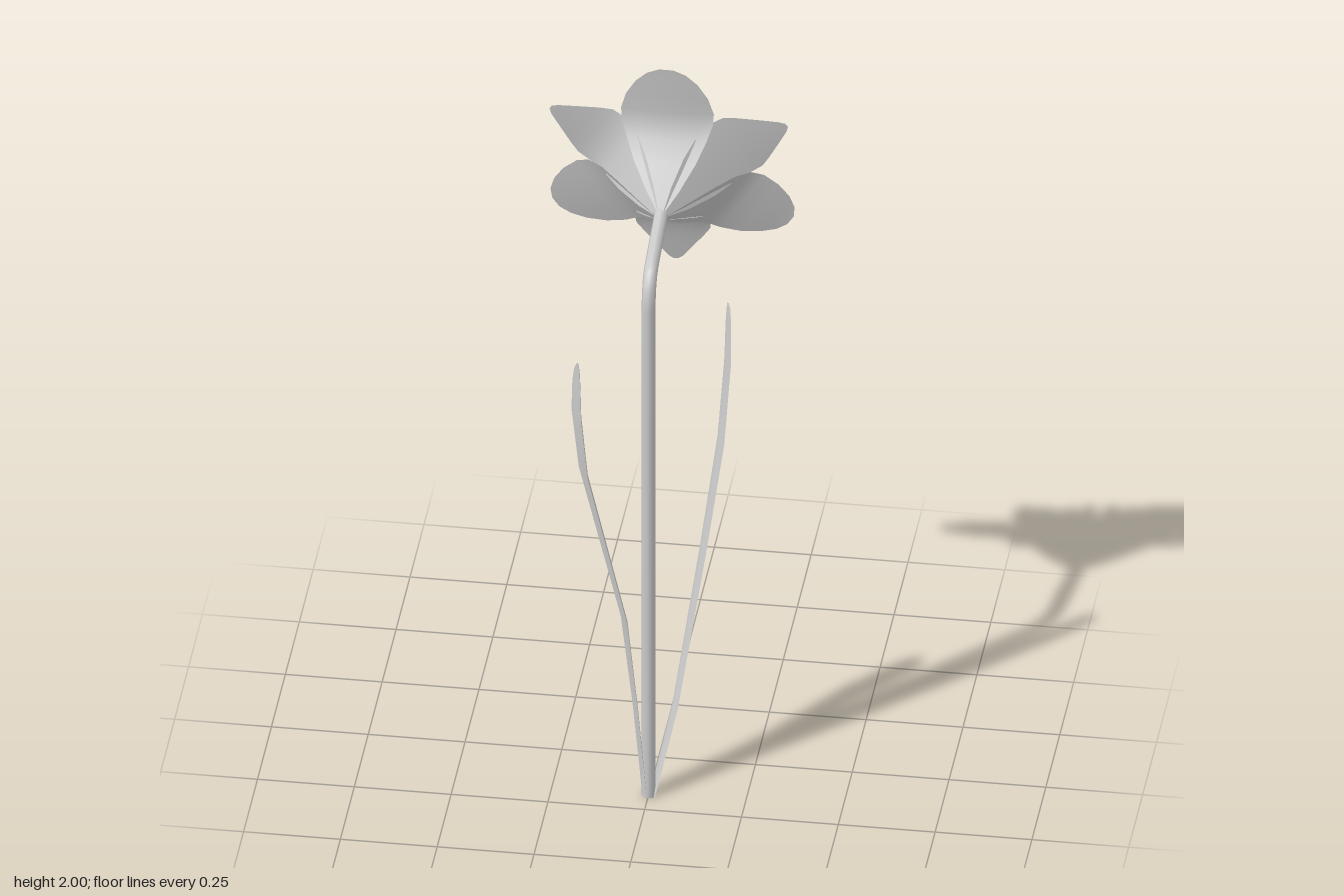
import * as THREE from 'three';
import { toCreasedNormals } from 'three/addons/utils/BufferGeometryUtils.js';

const material = new THREE.MeshStandardMaterial({ color: 0xcccccc, side: THREE.DoubleSide });

// Grid surface: point(i, j) returns [x, y, z] for row i and column j
function sheet(name, rows, cols, point, crease = 0.7) {
  const pos = [], index = [];
  for (let i = 0; i <= rows; i++) for (let j = 0; j <= cols; j++) pos.push(...point(i, j));
  for (let i = 0; i < rows; i++) {
    for (let j = 0; j < cols; j++) {
      const a = i * (cols + 1) + j, b = a + cols + 1;
      index.push(a, a + 1, b, a + 1, b + 1, b);
    }
  }
  const geo = new THREE.BufferGeometry();
  geo.setAttribute('position', new THREE.Float32BufferAttribute(pos, 3));
  geo.setIndex(index);
  const mesh = new THREE.Mesh(toCreasedNormals(geo, crease), material);
  mesh.name = name;
  return mesh;
}

// Petal pointing along +y; each row is [distance from axis, height along axis, half width]
function petal(name, rows) {
  const cols = 6;
  return sheet(name, rows.length - 1, cols, (i, j) => {
    const [r, a, w] = rows[i], x = w * (2 * j / cols - 1);
    return [x, r, a + 0.4 * (x * x - w * w / 2)];
  });
}

// Strap leaf; each row is [x, y, z, half width], slightly cupped toward the stem
function leaf(name, rows, side) {
  const cols = 4;
  return sheet(name, rows.length - 1, cols, (i, j) => {
    const [x, y, z, w] = rows[i], t = 2 * j / cols - 1;
    const cup = side * w * 0.3 * (0.5 - t * t);
    return [x + 0.5 * w * t + 0.86 * cup, y, z + 0.86 * w * t - 0.5 * cup];
  });
}

// Trumpet: a thick-walled cup whose rim is cut into teeth
function trumpet() {
  const teeth = 12;
  const steps = [[0, 1], [0.3, 1], [0.6, 1], [0.62, 0], [0.8, 0], [0.98, 0]];
  // [radius, height, radius in a notch, height in a notch]
  const profile = [
    [0.03, 0.02], [0.068, 0.11], [0.088, 0.198], [0.102, 0.241, 0.089, 0.201],
    [0.092, 0.241, 0.081, 0.201], [0.08, 0.198], [0.06, 0.11], [0.03, 0.06], [0, 0.055],
  ];
  return sheet('trumpet', profile.length - 1, teeth * steps.length, (i, j) => {
    const [offset, high] = steps[j % steps.length];
    const angle = (Math.floor(j / steps.length) + offset) / teeth * Math.PI * 2;
    const [r, a, lowR = r, lowA = a] = profile[i];
    const radius = high ? r : lowR;
    return [radius * Math.cos(angle), radius * Math.sin(angle), high ? a : lowA];
  }, 0.6);
}

export function createModel() {
  const model = new THREE.Group();
  model.name = 'flowerOnStem';

  // Stem: straight, then bent over toward the bloom
  const v = (y, z) => new THREE.Vector3(0, y, z);
  const path = new THREE.CurvePath();
  path.add(new THREE.LineCurve3(v(0, 0.18), v(1.47, 0.18)));
  path.add(new THREE.QuadraticBezierCurve3(v(1.47, 0.18), v(1.565, 0.18), v(1.578, 0.115)));
  path.add(new THREE.LineCurve3(v(1.578, 0.115), v(1.625, -0.06)));
  const stem = new THREE.Mesh(new THREE.TubeGeometry(path, 90, 0.018, 8), material);
  stem.name = 'stem';
  const stemEnd = new THREE.Mesh(new THREE.CircleGeometry(0.018, 8), material);
  stemEnd.name = 'stemEnd';
  stemEnd.rotation.x = Math.PI / 2;
  stemEnd.position.z = 0.18;
  model.add(stem, stemEnd);

  // Leaves
  model.add(leaf('leftLeaf', [
    [0.008, 0, 0.177, 0.016], [0.06, 0.25, 0.133, 0.018], [0.125, 0.7, 0.095, 0.021],
    [0.167, 1.02, 0.065, 0.023], [0.183, 1.25, 0.056, 0.022], [0.186, 1.38, 0.055, 0.018],
    [0.187, 1.42, 0.055, 0.012], [0.187, 1.435, 0.055, 0.004],
  ], -1));
  model.add(leaf('rightLeaf', [
    [-0.008, 0, 0.183, 0.016], [-0.03, 0.28, 0.197, 0.018], [-0.055, 0.55, 0.216, 0.023],
    [-0.153, 1.02, 0.262, 0.03], [-0.169, 1.2, 0.272, 0.033], [-0.17, 1.29, 0.27, 0.027],
    [-0.17, 1.33, 0.267, 0.018], [-0.17, 1.35, 0.265, 0.005],
  ], 1));

  // Bloom: built along +z, then tilted to look up and backward
  const bloom = new THREE.Group();
  bloom.name = 'bloom';
  bloom.position.set(0, 1.62, -0.045);
  bloom.lookAt(0, 1.62 + 0.24, -0.045 - 0.97);
  const round = [
    [0.016, 0, 0.012], [0.05, 0.035, 0.042], [0.1, 0.09, 0.08], [0.14, 0.133, 0.103],
    [0.175, 0.158, 0.117], [0.21, 0.166, 0.12], [0.26, 0.171, 0.106], [0.305, 0.176, 0.08],
    [0.335, 0.179, 0.05], [0.35, 0.18, 0.018],
  ];
  const pointed = [
    [0.016, 0, 0.012], [0.05, 0.037, 0.042], [0.1, 0.093, 0.075], [0.14, 0.138, 0.09],
    [0.175, 0.163, 0.098], [0.22, 0.173, 0.096], [0.25, 0.176, 0.079], [0.3, 0.179, 0.046],
    [0.34, 0.181, 0.019], [0.352, 0.182, 0.006],
  ];
  for (let k = 0; k < 6; k++) {
    const p = k % 2 ? petal('pointedPetal', pointed) : petal('roundPetal', round);
    p.rotation.z = k * Math.PI / 3;
    bloom.add(p);
  }
  bloom.add(trumpet());
  model.add(bloom);
  return model;
}
